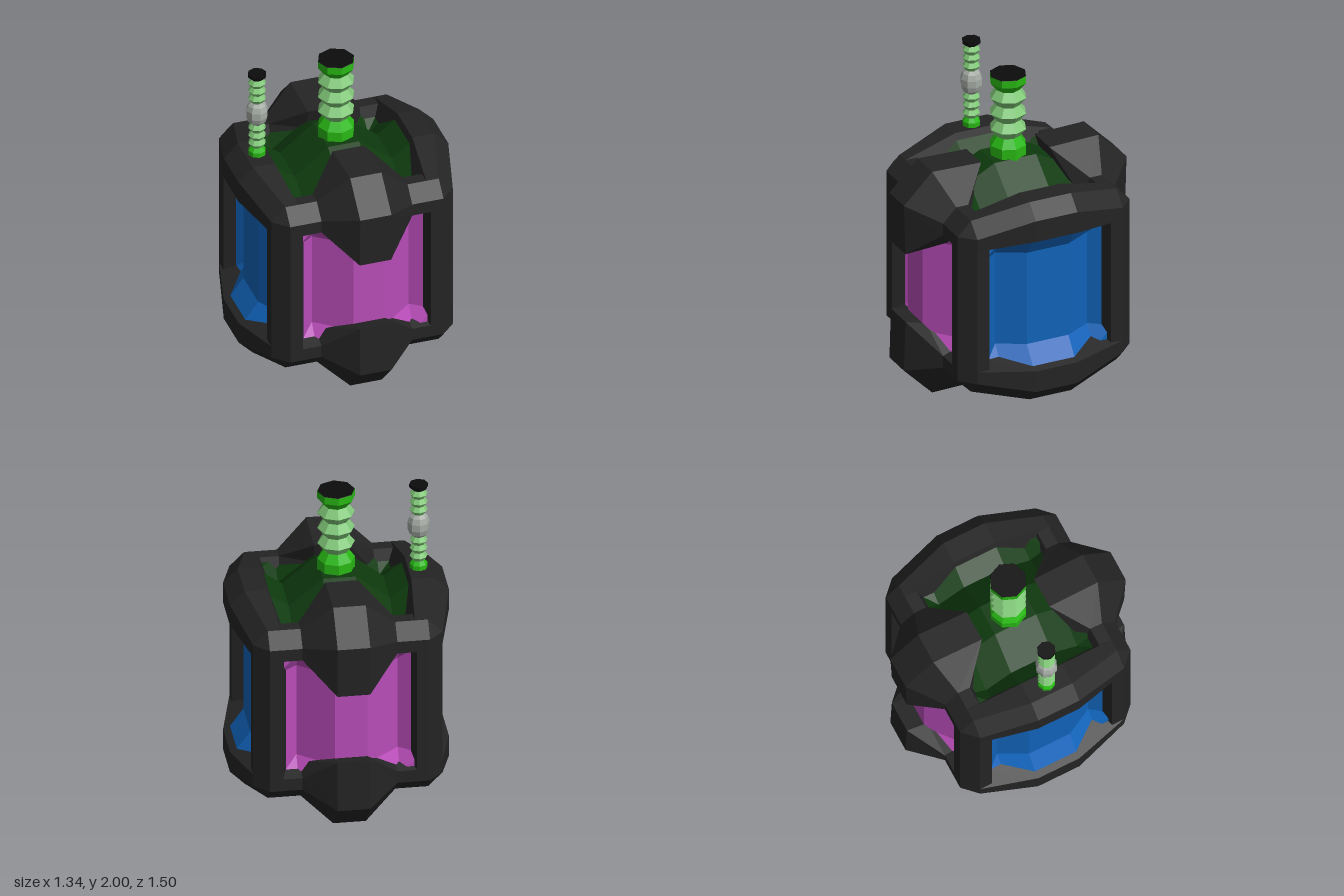
import * as THREE from 'three';

const CY = 0.75; // height of the body centre

const mat = (color) => new THREE.MeshStandardMaterial({ color, flatShading: true, side: THREE.DoubleSide });
const DARK = mat(0x242424), BLACK = mat(0x0c0c0c), MAGENTA = mat(0xb84cb8), BLUE = mat(0x1062b8);
const PURPLE = mat(0x7c3a98), DEEP_GREEN = mat(0x0e3a0e), GREEN = mat(0x28b814), PALE_GREEN = mat(0x80c878), GREY = mat(0xa4aaa4);

// Beam cross-sections: outer chamfer, two lips and the recess walls
const TIP = Array(6).fill([0.49, 0.49]);
const THIN = [[0.58, 0.49], [0.49, 0.58], [0.41, 0.58], [0.36, 0.45], [0.45, 0.36], [0.58, 0.41]];
const FAT = [[0.75, 0.56], [0.56, 0.75], [0.23, 0.74], [0.27, 0.60], [0.60, 0.27], [0.74, 0.23]];
const BOWED = [[0.67, 0.58], [0.58, 0.67], [0.44, 0.67], [0.38, 0.52], [0.52, 0.38], [0.67, 0.44]];

// Loft along x through [x, section] stations, mirrored to the negative side
function loft(half) {
  const stations = [...half.map(([x, s]) => [-x, s]), ...half.slice().reverse()];
  const pos = [], index = [], n = 6;
  stations.forEach(([x, s]) => s.forEach(([y, z]) => pos.push(x, y, z)));
  for (let i = 0; i < stations.length - 1; i++) {
    for (let j = 0; j < n; j++) {
      const a = i * n + j, b = i * n + (j + 1) % n;
      index.push(a, b, b + n, a, b + n, a + n);
    }
  }
  const g = new THREE.BufferGeometry();
  g.setAttribute('position', new THREE.Float32BufferAttribute(pos, 3));
  g.setIndex(index);
  g.computeVertexNormals();
  return g;
}

// Panel: a dished grid whose middle bows outwards; U and V are the line positions
const LINES = { x: [0.44, 0.31, 0.1], y: [0.44, 0.31, 0.2], z: [0.44, 0.31, 0.14] };
const BOW = { x: 0.17, y: 0, z: 0.09 };
function panel(u, v) {
  const g = new THREE.PlaneGeometry(2, 2, 5, 5);
  const p = g.attributes.position;
  const spread = (axis) => [...LINES[axis].map((d) => -d), ...LINES[axis].slice().reverse()];
  const us = spread(u), vs = spread(v).reverse();
  const isMid = (k) => k === 2 || k === 3;
  const isRim = (k) => k === 0 || k === 5;
  for (let i = 0; i < p.count; i++) {
    const c = i % 6, r = Math.floor(i / 6);
    let h = 0.455;
    if (isRim(c) || isRim(r)) h += 0.095;
    if (isMid(c)) h += BOW[u];
    if (isMid(r)) h += BOW[v];
    p.setXYZ(i, us[c], vs[r], h);
  }
  g.computeVertexNormals();
  return g;
}

function add(parent, name, geometry, material) {
  const m = new THREE.Mesh(geometry, material);
  m.name = name;
  parent.add(m);
  return m;
}

// Eight-sided turned part from [radius, y] points
const turned = (pts) => new THREE.LatheGeometry(pts.map(([r, y]) => new THREE.Vector2(r, y)), 8);

// Bellows zigzag: narrow, wide, narrow ... between two heights
function bellows(wide, narrow, y0, y1, folds) {
  const pts = [];
  for (let i = 0; i <= folds * 2; i++) pts.push([i % 2 ? wide : narrow, y0 + (y1 - y0) * i / (folds * 2)]);
  return turned(pts);
}

export function createModel() {
  const model = new THREE.Group();
  model.name = 'antennaCube';
  const body = new THREE.Group();
  body.name = 'body';
  body.position.y = CY;
  model.add(body);

  // Frame: four beams along each axis, turned about that axis
  const post = loft([[0.58, TIP], [0.49, THIN]]).rotateZ(Math.PI / 2);
  const sideBeam = loft([[0.58, TIP], [0.49, THIN], [0.14, BOWED]]).rotateY(Math.PI / 2);
  const bulgeBeam = loft([[0.58, TIP], [0.49, THIN], [0.29, THIN], [0.1, FAT]]);
  for (let k = 0; k < 4; k++) {
    const a = k * Math.PI / 2;
    add(body, 'cornerPost', post, DARK).rotation.y = a;
    add(body, 'sideBeam', sideBeam, DARK).rotation.z = a;
    add(body, 'bulgedBeam', bulgeBeam, DARK).rotation.x = a;
  }

  // Panels set into the frame
  const frontPanel = panel('x', 'y'), sidePanel = panel('z', 'y'), topPanel = panel('x', 'z');
  add(body, 'frontPanel', frontPanel, MAGENTA);
  add(body, 'backPanel', frontPanel, MAGENTA).rotation.y = Math.PI;
  add(body, 'leftPanel', sidePanel, BLUE).rotation.y = Math.PI / 2;
  add(body, 'rightPanel', sidePanel, BLUE).rotation.y = -Math.PI / 2;
  add(body, 'topPanel', topPanel, DEEP_GREEN).rotation.x = -Math.PI / 2;
  add(body, 'bottomPanel', topPanel, PURPLE).rotation.x = Math.PI / 2;

  // Thick bellows stack in the middle of the top
  const stack = new THREE.Group();
  stack.name = 'centreStack';
  add(stack, 'stackBase', turned([[0.115, 1.42], [0.115, 1.53], [0.075, 1.585]]), GREEN);
  add(stack, 'stackBellows', bellows(0.115, 0.075, 1.585, 1.9, 3), PALE_GREEN);
  add(stack, 'stackHead', turned([[0.075, 1.9], [0.115, 1.95], [0.115, 1.998]]), GREEN);
  add(stack, 'stackCap', turned([[0.115, 1.998], [0.113, 2], [0, 2]]), BLACK);
  model.add(stack);

  // Thin antenna with a bulb on the right beam
  const antenna = new THREE.Group();
  antenna.name = 'sideAntenna';
  antenna.position.x = -0.505;
  add(antenna, 'antennaBase', turned([[0.055, 1.38], [0.055, 1.45], [0.036, 1.475]]), GREEN);
  add(antenna, 'lowerBellows', bellows(0.055, 0.036, 1.475, 1.64, 3), PALE_GREEN);
  add(antenna, 'bulb', turned([[0.036, 1.64], [0.056, 1.66], [0.068, 1.695], [0.068, 1.74], [0.056, 1.775], [0.036, 1.795]]), GREY);
  add(antenna, 'upperBellows', bellows(0.055, 0.036, 1.795, 1.96, 3), PALE_GREEN);
  add(antenna, 'antennaCap', turned([[0.036, 1.96], [0.058, 1.98], [0.058, 2], [0, 2]]), BLACK);
  model.add(antenna);

  return model;
}
